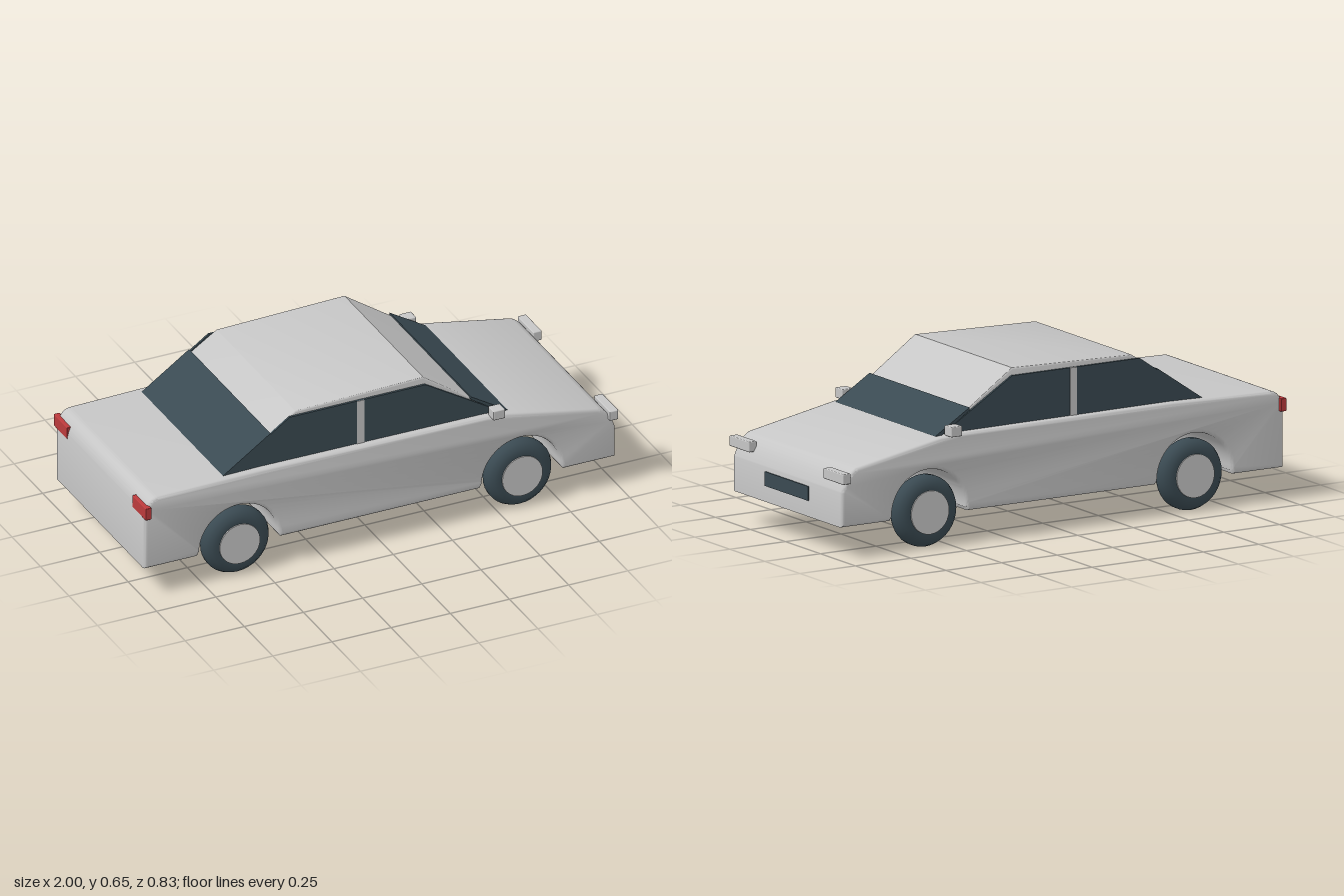
import * as THREE from 'three';
import { toCreasedNormals } from 'three/addons/utils/BufferGeometryUtils.js';
import { RoundedBoxGeometry } from 'three/addons/geometries/RoundedBoxGeometry.js';

const material = (name, color) => {
  const m = new THREE.MeshStandardMaterial({ color });
  m.name = name;
  return m;
};

export function createModel() {
  const paint = material('silver paint', 0xc6c6c6);
  const dark = material('dark glass and rubber', 0x3a4a52);
  const red = material('tail light red', 0xbc3a3c);
  const car = new THREE.Group();
  car.name = 'car';

  const add = (name, geometry, mat, x = 0, y = 0, z = 0, parent = car) => {
    const mesh = new THREE.Mesh(geometry, mat);
    mesh.name = name;
    mesh.position.set(x, y, z);
    parent.add(mesh);
    return mesh;
  };

  // Side profile extruded across the car, from z0 to z1, with optional rounded edges
  const slab = (shape, z0, z1, bevel = 0) => {
    const g = new THREE.ExtrudeGeometry(shape, {
      depth: z1 - z0 - 2 * bevel, curveSegments: 28, bevelEnabled: bevel > 0,
      bevelSize: bevel, bevelThickness: bevel, bevelOffset: -bevel, bevelSegments: 3,
    });
    g.translate(0, 0, z0 + bevel);
    return toCreasedNormals(g, 0.6);
  };
  const polygon = (points) => new THREE.Shape(points.map(([x, y]) => new THREE.Vector2(x, y)));

  const axleX = 0.597, axleY = 0.14, archR = 0.166, floorY = 0.125;

  // Lower body with wheel arches running right across
  const body = new THREE.Shape();
  body.moveTo(-0.998, floorY);
  for (const x of [-axleX, axleX]) {
    body.lineTo(x - archR - 0.01, floorY);
    body.lineTo(x - archR - 0.002, axleY);
    body.absarc(x, axleY, archR, Math.PI, 0, true);
    body.lineTo(x + archR + 0.01, floorY);
  }
  body.lineTo(0.992, floorY);
  body.lineTo(0.992, 0.26);
  body.quadraticCurveTo(0.965, 0.335, 0.92, 0.352);
  body.lineTo(0.54, 0.424);
  body.lineTo(0.45, 0.431);
  body.lineTo(-0.5, 0.436);
  body.lineTo(-0.94, 0.427);
  body.quadraticCurveTo(-0.985, 0.425, -0.998, 0.36);
  add('body', slab(body, -0.39, 0.39, 0.014), paint);

  // Cabin and roof
  const cabin = polygon([[-0.655, 0.425], [-0.42, 0.583], [-0.34, 0.635], [0.2, 0.649], [0.545, 0.41]]);
  add('cabin', slab(cabin, -0.348, 0.348, 0.006), paint);

  // Windscreen and rear window
  const windscreen = polygon([[0.395, 0.508], [0.397, 0.519], [0.551, 0.424], [0.53, 0.42]]);
  add('windscreen', slab(windscreen, -0.357, 0.357), dark);
  const rearWindow = polygon([[-0.655, 0.43], [-0.45, 0.57], [-0.447, 0.56], [-0.63, 0.43]]);
  add('rearWindow', slab(rearWindow, -0.357, 0.357), dark);

  // Tyre, revolved about its axle
  const tyre = new THREE.LatheGeometry([
    [0, -0.045], [0.09, -0.045], [0.115, -0.042], [0.132, -0.026], [0.14, -0.01],
    [0.14, 0.01], [0.132, 0.026], [0.115, 0.042], [0.09, 0.045], [0, 0.045],
  ].map(([r, y]) => new THREE.Vector2(r, y)), 36);
  tyre.rotateX(Math.PI / 2);
  const hub = new THREE.CylinderGeometry(0.085, 0.085, 0.012, 28).rotateX(Math.PI / 2);

  const sideGlass = polygon([[-0.645, 0.43], [-0.37, 0.62], [0.205, 0.62], [0.515, 0.43]]);

  for (const s of [1, -1]) {
    const side = s > 0 ? 'right' : 'left';

    // Side glass and centre pillar
    add(side + 'SideWindows', slab(sideGlass, s > 0 ? 0.348 : -0.357, s > 0 ? 0.357 : -0.348), dark);
    add(side + 'Pillar', new THREE.BoxGeometry(0.03, 0.192, 0.01), paint, -0.07, 0.524, s * 0.355);

    // Mirrors, headlights and tail lights
    add(side + 'Mirror', new RoundedBoxGeometry(0.05, 0.04, 0.05, 2, 0.004), paint, 0.49, 0.446, s * 0.39);
    add(side + 'Headlight', new RoundedBoxGeometry(0.036, 0.041, 0.141, 2, 0.004), paint, 0.979, 0.317, s * 0.336);
    add(side + 'TailLight', new RoundedBoxGeometry(0.025, 0.051, 0.12, 2, 0.003), red, -0.9875, 0.373, s * 0.345);

    // Wheels
    for (const x of [-axleX, axleX]) {
      const wheel = new THREE.Group();
      wheel.name = side + (x > 0 ? 'FrontWheel' : 'RearWheel');
      wheel.position.set(x, axleY, s * 0.345);
      add('tyre', tyre, dark, 0, 0, 0, wheel);
      add('hubcap', hub, paint, 0, 0, s * 0.044, wheel);
      car.add(wheel);
    }
  }

  // Front grille
  add('grille', new THREE.BoxGeometry(0.009, 0.056, 0.31), dark, 0.992, 0.216, 0);

  return car;
}
